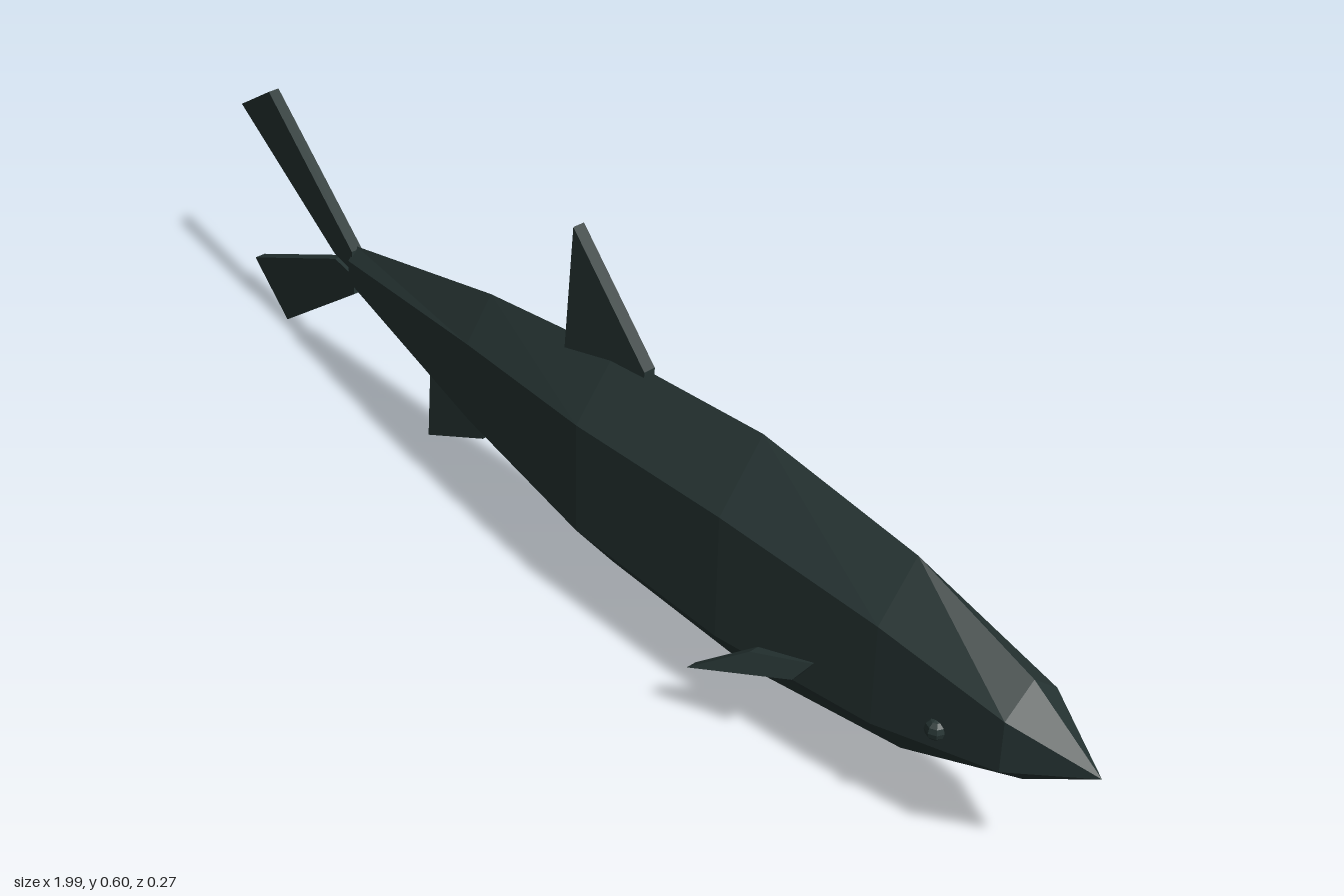
import * as THREE from 'three';

export function createModel() {
  const fish = new THREE.Group();
  fish.name = 'fish';
  const skin = new THREE.MeshStandardMaterial({ color: 0x263433, flatShading: true });
  skin.name = 'dark slate skin';

  const add = (geometry, name) => {
    const mesh = new THREE.Mesh(geometry, skin);
    mesh.name = name;
    fish.add(mesh);
    return mesh;
  };

  // Body: six-sided sections along x as [x, top, bottom, z centre, half width]
  const sections = [
    [-0.6, 0.275, 0.195, -0.058, 0.019],
    [-0.2, 0.378, 0.103, -0.013, 0.049],
    [0.1, 0.422, 0.055, 0.008, 0.073],
    [0.4, 0.435, 0.033, 0.012, 0.078],
    [0.68, 0.387, 0.066, 0.01, 0.068],
    [0.88, 0.305, 0.142, 0.008, 0.051],
    [0.997, 0.217, 0.217, 0.006, 0],
  ];
  const ringPoint = ([x, top, bottom, z, w], j) => {
    const a = (j * Math.PI) / 3;
    return [
      x,
      (top + bottom) / 2 + (Math.cos(a) * (top - bottom)) / 2,
      z + (Math.sin(a) * w) / Math.cos(Math.PI / 6),
    ];
  };
  const positions = [];
  const tri = (...corners) => corners.forEach((c) => positions.push(...c));
  for (let i = 0; i < sections.length - 1; i++) {
    for (let j = 0; j < 6; j++) {
      const a = ringPoint(sections[i], j), b = ringPoint(sections[i + 1], j);
      const c = ringPoint(sections[i + 1], j + 1), d = ringPoint(sections[i], j + 1);
      tri(a, d, c);
      if (i < sections.length - 2) tri(a, c, b);
    }
  }
  // Flat end at the tail root
  for (let j = 0; j < 6; j++) {
    tri([-0.6, 0.235, -0.058], ringPoint(sections[0], j + 1), ringPoint(sections[0], j));
  }
  const body = new THREE.BufferGeometry();
  body.setAttribute('position', new THREE.Float32BufferAttribute(positions, 3));
  body.computeVertexNormals();
  add(body, 'body');

  // Fins: flat outlines in x and y, given thickness and slanted in z by a rule
  const fin = (name, outline, zAt, thickness = 0.02) => {
    const shape = new THREE.Shape(outline.map(([x, y]) => new THREE.Vector2(x, y)));
    const geometry = new THREE.ExtrudeGeometry(shape, { depth: thickness, bevelEnabled: false });
    const p = geometry.attributes.position;
    for (let i = 0; i < p.count; i++) {
      p.setZ(i, p.getZ(i) - thickness / 2 + zAt(p.getX(i), p.getY(i)));
    }
    geometry.computeVertexNormals();
    add(geometry, name);
  };

  const tailZ = (x) => -0.105 + 0.18 * (x + 0.88);
  fin('upperTailFin', [[-0.595, 0.272], [-0.88, 0.441], [-0.997, 0.369], [-0.66, 0.237], [-0.595, 0.235]], tailZ);
  fin('lowerTailFin', [[-0.595, 0.192], [-0.87, 0], [-0.99, 0.067], [-0.66, 0.227], [-0.595, 0.227]], tailZ);
  fin('dorsalFin', [[0, 0.38], [0.17, 0.41], [0.17, 0.425], [0.02, 0.595]], () => 0.006);
  fin('bellyFin', [[-0.37, 0.038], [-0.23, 0.1], [-0.22, 0.13], [-0.36, 0.16]], () => -0.025);

  // Side fins and eyes, mirrored about the head's centre plane
  const midZ = 0.01;
  for (const [label, side] of [['left', -1], ['right', 1]]) {
    fin(
      side > 0 ? 'rightSideFin' : 'leftSideFin',
      [[0.395, 0.1], [0.48, 0.16], [0.58, 0.19], [0.56, 0.16]],
      (x, y) => midZ - side * (0.119 - 0.58 * (y - 0.1)),
      0.017,
    );
    const eye = add(new THREE.SphereGeometry(0.016, 8, 6), label + 'Eye');
    eye.position.set(0.78, 0.195, midZ - side * 0.056);
  }
  return fish;
}
